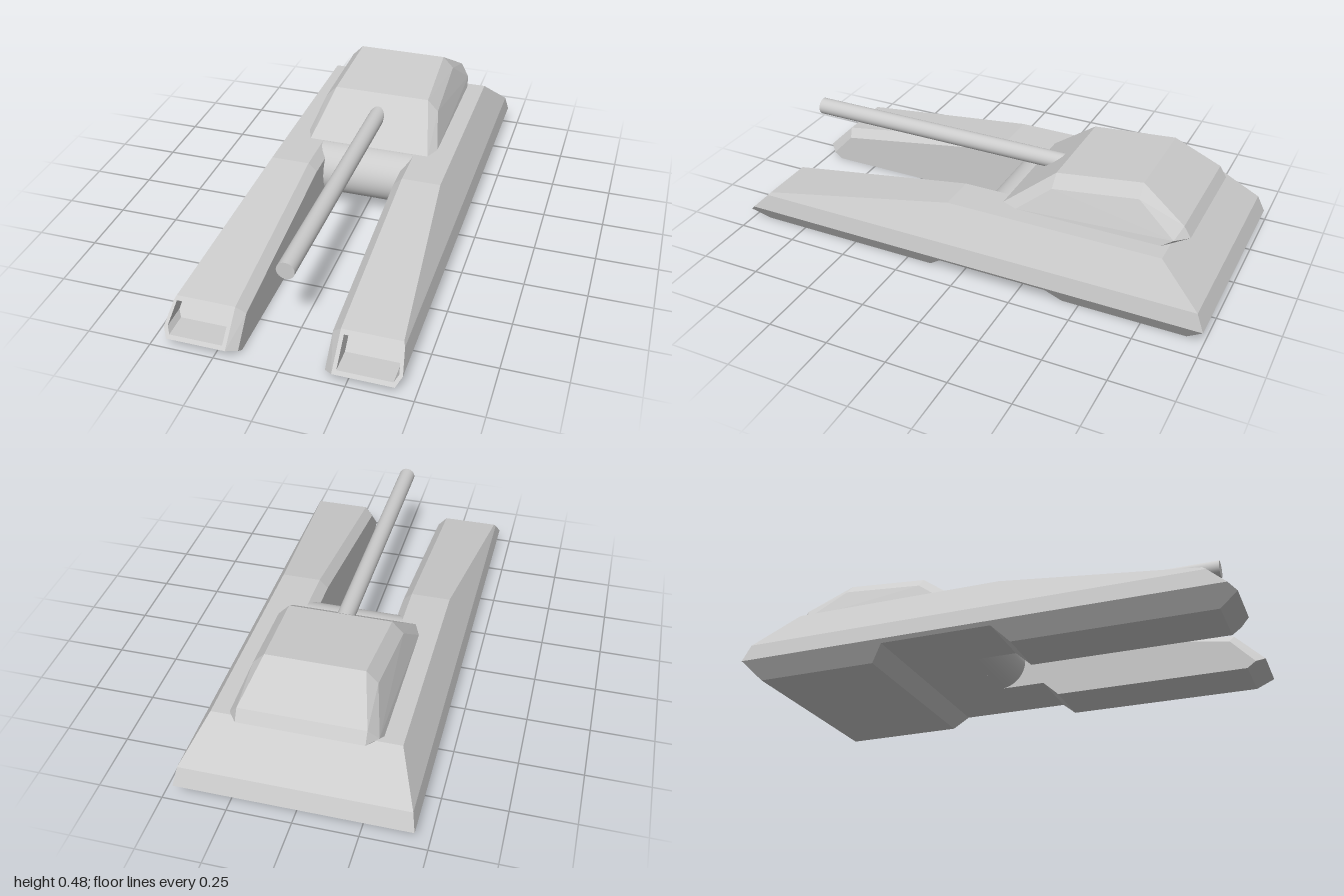
import * as THREE from 'three';
import { ConvexGeometry } from 'three/addons/geometries/ConvexGeometry.js';

const material = new THREE.MeshStandardMaterial({ color: 0xcccccc });

// Slanted nose plane of the prongs: z as a function of height
const noseZ = (y) => 1 - (y - 0.045) * 1.018;

const hull = (points) => new ConvexGeometry(points.map((p) => new THREE.Vector3(...p)));
const bothSides = (points) => points.flatMap(([x, y, z]) => [[x, y, z], [-x, y, z]]);
const atZ = (section, z) => section.map(([x, y]) => [x, y, z]);

// Mirror a geometry across x = 0, keeping its faces outward
function mirrored(geometry) {
  const g = geometry.index ? geometry.toNonIndexed() : geometry.clone();
  g.scale(-1, 1, 1);
  const p = g.attributes.position;
  const a = new THREE.Vector3(), b = new THREE.Vector3();
  for (let i = 0; i < p.count; i += 3) {
    a.fromBufferAttribute(p, i + 1);
    b.fromBufferAttribute(p, i + 2);
    p.setXYZ(i + 1, b.x, b.y, b.z);
    p.setXYZ(i + 2, a.x, a.y, a.z);
  }
  g.computeVertexNormals();
  return g;
}

// Drop the triangles lying on the nose plane so the intake can open there
function openNose(geometry) {
  const p = geometry.attributes.position;
  const kept = [];
  for (let i = 0; i < p.count; i += 3) {
    const tri = [i, i + 1, i + 2];
    if (tri.every((k) => Math.abs(p.getZ(k) - noseZ(p.getY(k))) < 1e-4)) continue;
    tri.forEach((k) => kept.push(p.getX(k), p.getY(k), p.getZ(k)));
  }
  const g = new THREE.BufferGeometry();
  g.setAttribute('position', new THREE.Float32BufferAttribute(kept, 3));
  g.computeVertexNormals();
  return g;
}

// Flat shape laid on the nose plane, moved back by depth
function onNose(shape, depth = 0) {
  const g = new THREE.ShapeGeometry(shape).toNonIndexed();
  const p = g.attributes.position;
  for (let i = 0; i < p.count; i++) p.setZ(i, noseZ(p.getY(i)) - depth);
  g.computeVertexNormals();
  return g;
}

// Inward-facing walls of the intake, from a counter-clockwise outline
function intakeWalls(outline, depth) {
  const v = [];
  outline.forEach(([x0, y0], i) => {
    const [x1, y1] = outline[(i + 1) % outline.length];
    const a = [x0, y0, noseZ(y0)], b = [x1, y1, noseZ(y1)];
    const c = [x1, y1, b[2] - depth], d = [x0, y0, a[2] - depth];
    v.push(...a, ...b, ...c, ...a, ...c, ...d);
  });
  const g = new THREE.BufferGeometry();
  g.setAttribute('position', new THREE.Float32BufferAttribute(v, 3));
  g.computeVertexNormals();
  return g;
}

export function createModel() {
  const model = new THREE.Group();
  const add = (name, geometry, parent = model) => {
    const mesh = new THREE.Mesh(geometry, material);
    mesh.name = name;
    parent.add(mesh);
  };

  // Rear hull and the shallow block below it
  const side = [[0.44, 0.06], [0.45, 0.075], [0.437, 0.145], [0.36, 0.285]];
  add('rearHull', hull(bothSides([
    ...atZ(side, -0.11),
    [0.44, 0.06, -0.986], [0.45, 0.075, -1], [0.437, 0.145, -0.97], [0.36, 0.285, -0.8],
  ])));
  add('rearUnderside', hull(bothSides([
    [0.44, 0.06, -0.986], [0.44, 0.06, -0.375], [0.4, 0, -0.93], [0.4, 0, -0.43],
  ])));

  // Rounded hull front between the prongs
  const roll = new THREE.CylinderGeometry(0.1125, 0.1125, 0.4, 48);
  roll.rotateZ(Math.PI / 2).translate(0, 0.1725, -0.1125);
  add('roundedHullFront', roll);

  // Prong geometry for the left side
  const section = [[0.165, 0.06], ...side, [0.2, 0.285], [0.165, 0.25]];
  const prongRoot = hull([...atZ(section, -0.11), ...atZ(section, 0.08)]);
  const nose = [[0.2, 0.045], [0.43, 0.045], [0.45, 0.075], [0.437, 0.145], [0.43, 0.158], [0.2, 0.158]];
  const prong = openNose(hull([
    ...atZ(section, 0.08),
    ...nose.map(([x, y]) => [x, y, noseZ(y)]),
    [0.165, 0.06, 0.088], [0.44, 0.06, 0.088],
    [0.165, 0, 0.145], [0.4, 0, 0.145], [0.165, 0, 0.93], [0.4, 0, 0.93],
    [0.165, 0.025, 0.965], [0.165, 0.125, 0.87],
  ]));

  // Recessed intake in the nose
  const depth = 0.1;
  const intake = [[0.215, 0.057], [0.422, 0.057], [0.436, 0.078], [0.425, 0.145], [0.215, 0.145]];
  const toPoints = (list) => list.map(([x, y]) => new THREE.Vector2(x, y));
  const rim = new THREE.Shape(toPoints(nose));
  rim.holes.push(new THREE.Path(toPoints(intake)));
  const parts = {
    prongRoot,
    prong,
    intakeRim: onNose(rim),
    intakeWalls: intakeWalls(intake, depth),
    intakeBack: onNose(new THREE.Shape(toPoints(intake)), depth),
  };
  for (const name of ['leftProng', 'rightProng']) {
    const group = new THREE.Group();
    group.name = name;
    for (const [part, g] of Object.entries(parts)) {
      add(part, name === 'leftProng' ? g : mirrored(g), group);
    }
    model.add(group);
  }

  // Faceted turret
  add('turret', hull(bothSides([
    [0.258, 0.285, -0.115], [0.285, 0.285, -0.18],
    [0.205, 0.44, -0.315], [0.25, 0.392, -0.315],
    [0.19, 0.477, -0.66], [0.235, 0.43, -0.66],
    [0.24, 0.365, -0.84], [0.24, 0.32, -0.868],
    [0.278, 0.315, -0.815], [0.285, 0.285, -0.77], [0.24, 0.285, -0.79],
  ])));

  // Long gun barrel
  const barrel = new THREE.CylinderGeometry(0.035, 0.035, 1.2, 32);
  barrel.rotateX(Math.PI / 2).translate(0, 0.367, 0.285);
  add('barrel', barrel);

  return model;
}
